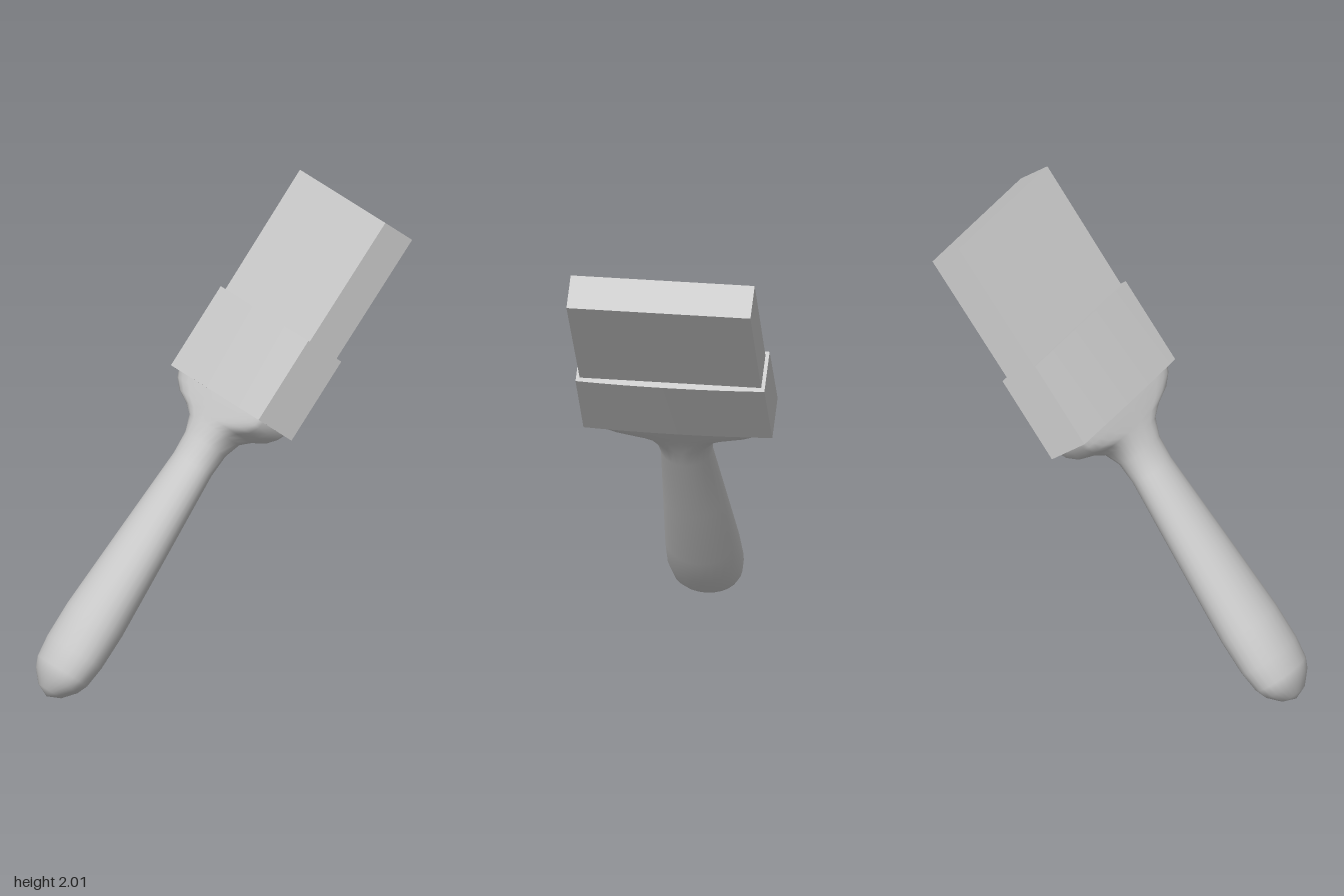
import * as THREE from 'three';
import { mergeVertices, toCreasedNormals } from 'three/addons/utils/BufferGeometryUtils.js';

const material = new THREE.MeshStandardMaterial({ color: 0xcccccc });

function addPart(group, name, geometry) {
  const mesh = new THREE.Mesh(geometry, material);
  mesh.name = name;
  group.add(mesh);
}

// Skins rings of [height, half width, half thickness, squareness] along y.
function loft(rings, sides) {
  const positions = [];
  const index = [];
  const power = (v, n) => Math.sign(v) * Math.abs(v) ** (2 / n);
  rings.forEach(([y, w, t, n], r) => {
    for (let i = 0; i < sides; i++) {
      const a = (i / sides) * Math.PI * 2;
      positions.push(t * power(Math.cos(a), n), y, w * power(Math.sin(a), n));
      if (r === rings.length - 1) continue;
      const p = r * sides + i;
      const q = r * sides + ((i + 1) % sides);
      index.push(p, p + sides, q, q, p + sides, q + sides);
    }
  });
  const geometry = new THREE.BufferGeometry();
  geometry.setAttribute('position', new THREE.Float32BufferAttribute(positions, 3));
  geometry.setIndex(index);
  const merged = mergeVertices(geometry);
  merged.computeVertexNormals();
  return merged;
}

// Flat metal band whose two wide faces bow out slightly.
function ferruleGeometry(bottom, top) {
  const t = 0.097, w = 0.4, bow = 0.115;
  const shape = new THREE.Shape();
  shape.moveTo(-t, -w);
  shape.lineTo(t, -w);
  shape.quadraticCurveTo(bow, 0, t, w);
  shape.lineTo(-t, w);
  shape.quadraticCurveTo(-bow, 0, -t, -w);
  const geometry = new THREE.ExtrudeGeometry(shape, { depth: top - bottom, bevelEnabled: false, curveSegments: 8 });
  geometry.rotateX(-Math.PI / 2).translate(0, bottom, 0);
  return toCreasedNormals(geometry, 0.5);
}

// Bristle block, widening a little towards the tip.
function bristleGeometry(bottom, top) {
  const geometry = new THREE.BoxGeometry(0.158, top - bottom, 0.768);
  geometry.translate(0, (top + bottom) / 2, 0);
  const p = geometry.attributes.position;
  for (let i = 0; i < p.count; i++) {
    if (p.getY(i) > 1.9) p.setZ(i, p.getZ(i) * 1.015);
  }
  geometry.computeVertexNormals();
  return geometry;
}

export function createModel() {
  const brush = new THREE.Group();
  brush.name = 'paintBrush';

  // Rounded grip, narrow neck and shoulder flaring out to the band
  addPart(brush, 'handle', loft([
    [-0.45, 0, 0, 2],
    [-0.425, 0.07, 0.05, 2],
    [-0.37, 0.13, 0.09, 2],
    [-0.325, 0.148, 0.11, 2],
    [-0.23, 0.162, 0.12, 2],
    [-0.07, 0.158, 0.125, 2],
    [0.3, 0.135, 0.107, 2],
    [0.7, 0.11, 0.086, 2],
    [0.8, 0.122, 0.083, 2.2],
    [0.87, 0.165, 0.084, 2.6],
    [0.905, 0.23, 0.086, 3.2],
    [0.935, 0.32, 0.088, 4],
    [0.975, 0.372, 0.091, 5],
    [1.01, 0.39, 0.093, 6],
  ], 24));
  addPart(brush, 'ferrule', ferruleGeometry(1.003, 1.395));
  addPart(brush, 'bristles', bristleGeometry(1.35, 1.985));

  // Lean the brush to its right-hand side with a slight yaw
  brush.rotation.set(0, -0.018, -Math.atan2(0.6, 0.8));
  brush.position.set(-0.485, 0.364, -0.009);

  const model = new THREE.Group();
  model.add(brush);
  return model;
}
